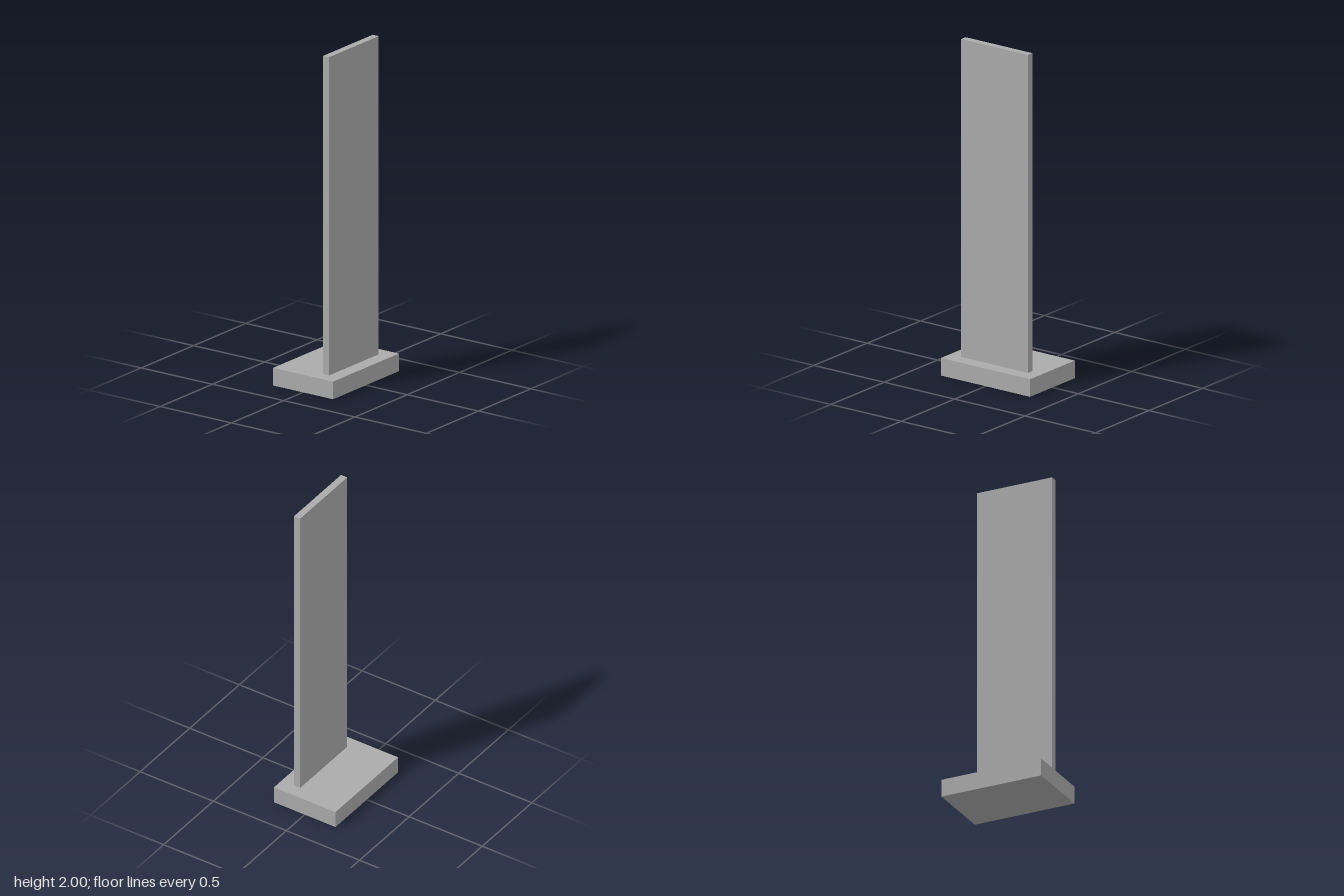
import * as THREE from 'three';

export function createModel() {
  const model = new THREE.Group();
  const grey = new THREE.MeshStandardMaterial({ color: 0xaaaaaa });
  grey.name = 'grey';

  // Adds a box resting on height y
  const addBox = (name, w, h, d, y, z) => {
    const mesh = new THREE.Mesh(new THREE.BoxGeometry(w, h, d), grey);
    mesh.name = name;
    mesh.position.set(0, y + h / 2, z);
    model.add(mesh);
  };

  const baseHeight = 0.105;
  // Wide foot slab
  addBox('base', 0.631, baseHeight, 0.421, 0, 0);
  // Tall thin panel, set towards the front of the base
  addBox('panel', 0.474, 2 - baseHeight, 0.042, baseHeight, 0.105);

  return model;
}
